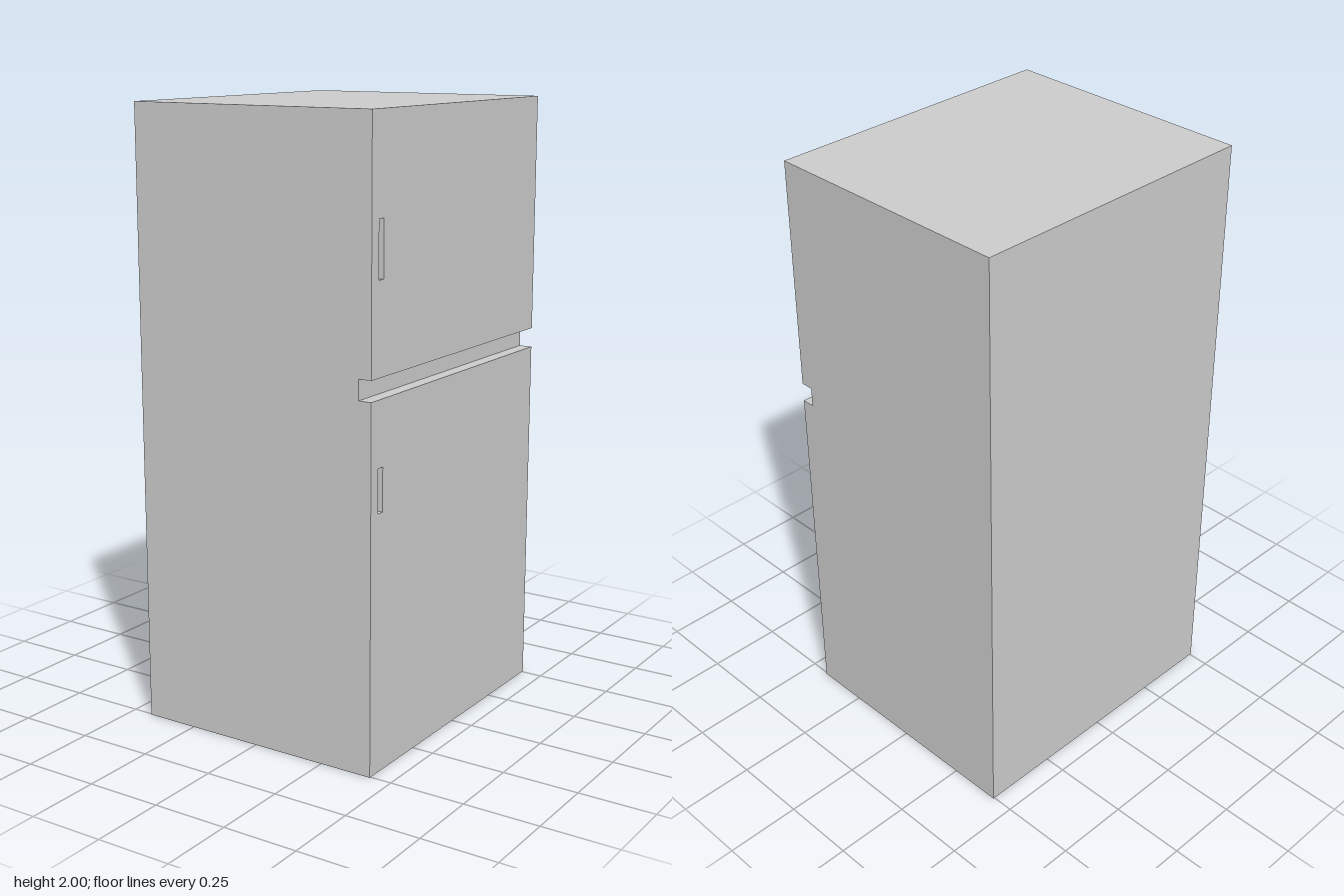
import * as THREE from 'three';

const W = 0.428, D = 0.505, H = 2;   // half width, half depth, height
const DOOR = 0.043;                  // door thickness
const GAP = [1.168, 1.232];          // groove between the doors

const material = new THREE.MeshStandardMaterial({ color: 0xcccccc, flatShading: true });

function rect(target, x0, x1, y0, y1) {
  target.moveTo(x0, y0);
  target.lineTo(x1, y0);
  target.lineTo(x1, y1);
  target.lineTo(x0, y1);
  target.closePath();
  return target;
}

// Door slab on the +x side with a narrow recessed grip near its +z edge
function door(name, y0, y1, grip0, grip1) {
  const shape = rect(new THREE.Shape(), -D, D, y0, y1);
  shape.holes.push(rect(new THREE.Path(), -0.466, -0.44, grip0, grip1));
  const geometry = new THREE.ExtrudeGeometry(shape, { depth: DOOR, bevelEnabled: false });
  geometry.rotateY(Math.PI / 2).translate(W - DOOR, 0, 0);
  const mesh = new THREE.Mesh(geometry, material);
  mesh.name = name;
  return mesh;
}

export function createModel() {
  const group = new THREE.Group();
  group.name = 'refrigerator';

  // Cabinet; its front forms the back of the groove and of the grips
  const cabinet = new THREE.Mesh(new THREE.BoxGeometry(2 * W - DOOR, H, 2 * D), material);
  cabinet.position.set(-DOOR / 2, H / 2, 0);
  cabinet.name = 'cabinet';

  group.add(
    cabinet,
    door('fridgeDoor', 0, GAP[0], 0.824, 0.962),
    door('freezerDoor', GAP[1], H, 1.518, 1.693)
  );
  return group;
}
